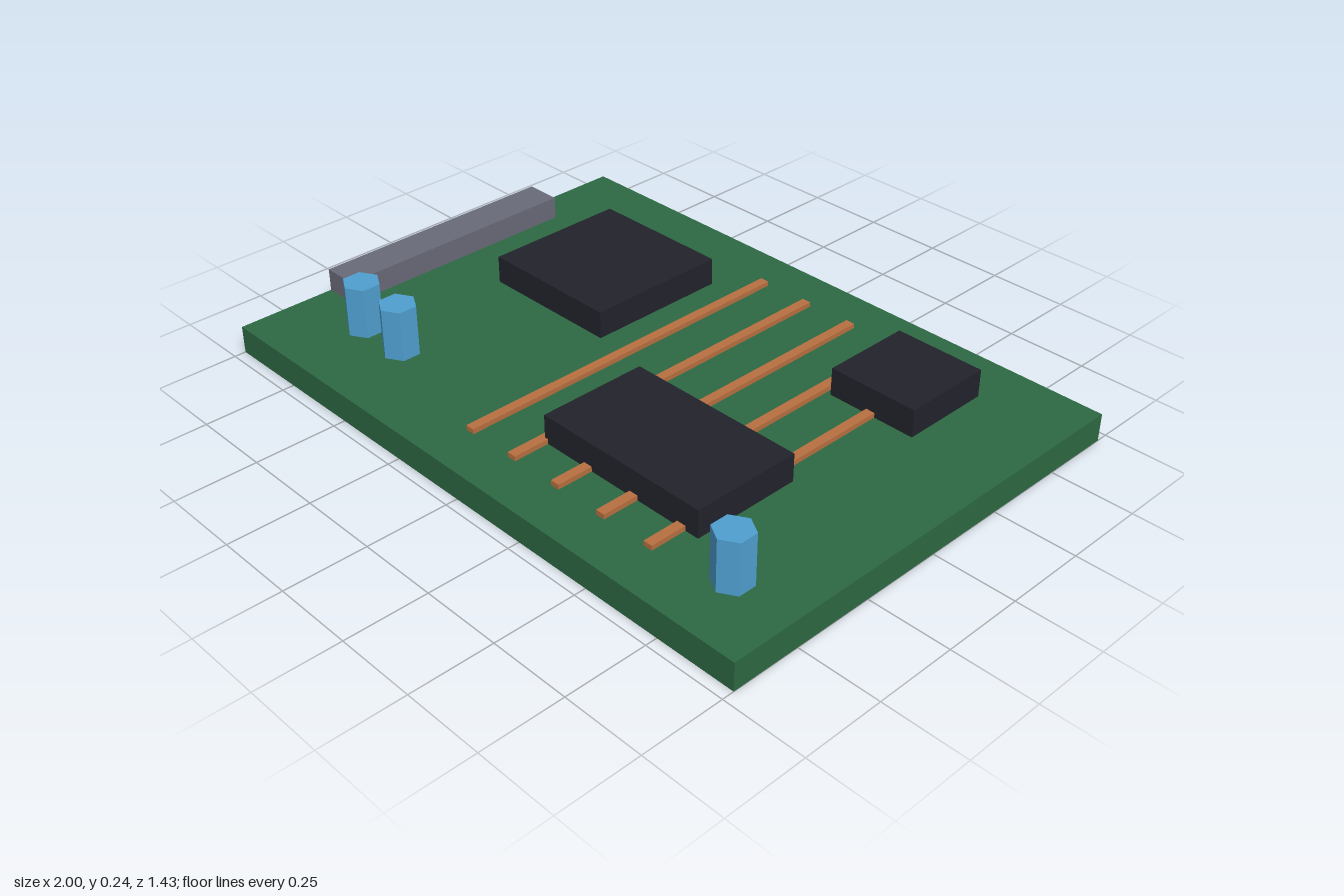
import * as THREE from 'three';

export function createModel() {
  const model = new THREE.Group();
  model.name = 'circuitBoard';

  const material = (name, color) => {
    const m = new THREE.MeshStandardMaterial({ color });
    m.name = name;
    return m;
  };
  const green = material('board green', 0x2d6842);
  const black = material('chip black', 0x22222c);
  const copper = material('trace copper', 0xb87040);
  const blue = material('capacitor blue', 0x4f9fd0);
  const grey = material('connector grey', 0x686a78);

  const boardTop = 0.086;

  // Adds a part whose base rests at height y
  const add = (name, geometry, mat, x, y, z, height) => {
    const mesh = new THREE.Mesh(geometry, mat);
    mesh.name = name;
    mesh.position.set(x, y + height / 2, z);
    model.add(mesh);
  };
  const box = (name, mat, x, y, z, w, h, d) =>
    add(name, new THREE.BoxGeometry(w, h, d), mat, x, y, z, h);

  // Board
  box('board', green, 0, 0, 0, 2, boardTop, 1.428);

  // Chips: x, z, width, depth
  [
    [-0.457, -0.229, 0.457, 0.457],
    [0.343, 0.286, 0.571, 0.343],
    [0.571, -0.4, 0.286, 0.286],
  ].forEach(([x, z, w, d], i) => box(`chip${i + 1}`, black, x, boardTop, z, w, 0.086, d));

  // Parallel copper traces
  for (let i = 0; i < 5; i++) {
    box(`trace${i + 1}`, copper, -0.116 + i * 0.1714, boardTop, 0, 0.029, 0.015, 1.143);
  }

  // Edge connector
  box('edgeConnector', grey, -0.943, boardTop, 0, 0.114, 0.071, 0.8);

  // Six-sided capacitors
  const capHeight = 0.157;
  const capGeometry = new THREE.CylinderGeometry(0.057, 0.057, capHeight, 6).toNonIndexed();
  capGeometry.computeVertexNormals();
  [[-0.743, 0.457], [-0.571, 0.457], [0.8, 0.514]].forEach(([x, z], i) =>
    add(`capacitor${i + 1}`, capGeometry, blue, x, boardTop, z, capHeight));

  return model;
}
